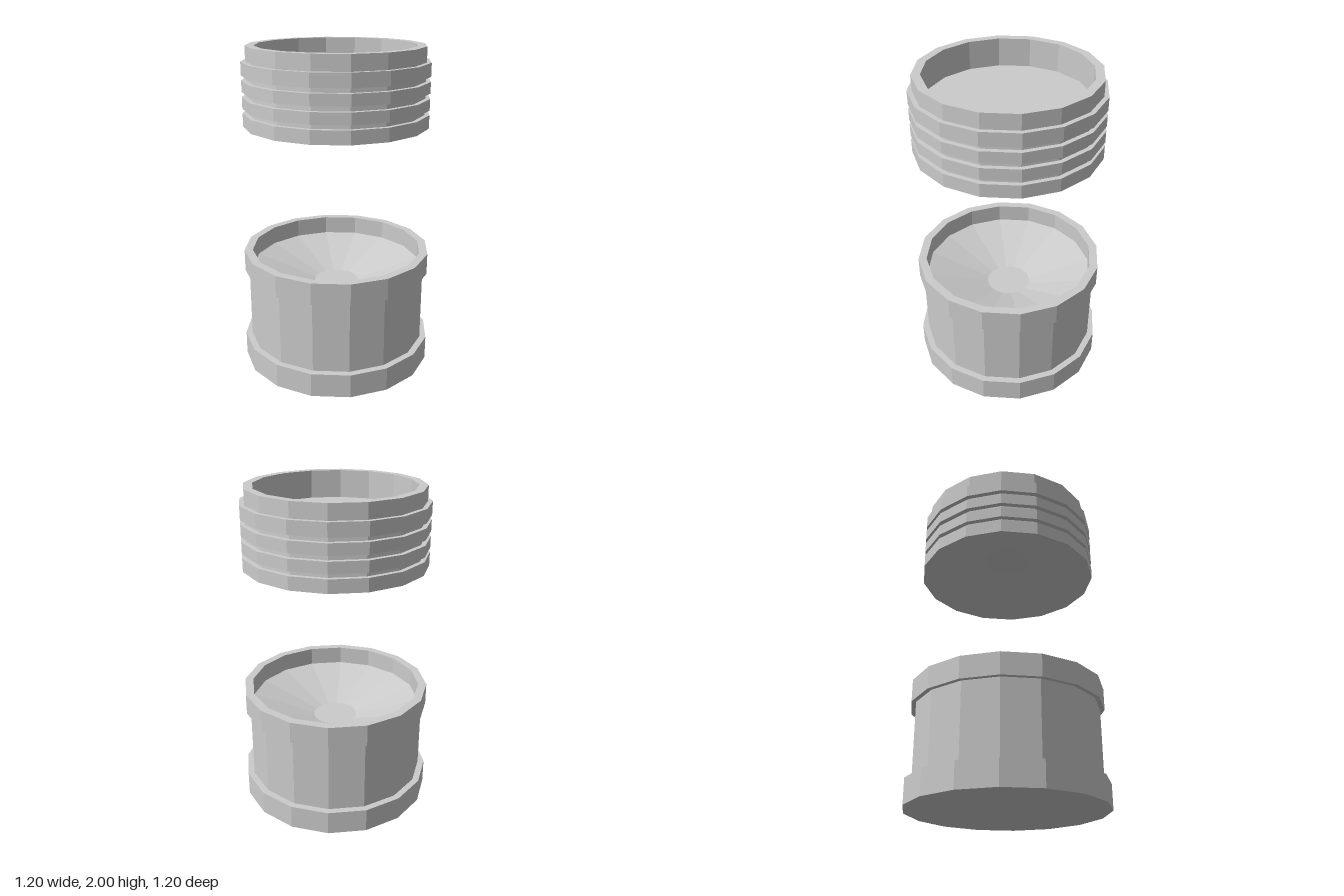
import * as THREE from 'three';

const SIDES = 16;
const material = new THREE.MeshStandardMaterial({ color: 0xcccccc, flatShading: true });

// Closed faceted solid turned from a [radius, height] profile, listed bottom axis to top axis
function turned(name, profile) {
  const points = profile.map(([r, y]) => new THREE.Vector2(r, y));
  const mesh = new THREE.Mesh(new THREE.LatheGeometry(points, SIDES), material);
  mesh.name = name;
  return mesh;
}

export function createModel() {
  const group = new THREE.Group();
  group.name = 'pedestalAndFloatingCap';

  // Pedestal: wide foot, drum, overhanging rim and a dished top
  group.add(turned('pedestal', [
    [0, 0], [0.6, 0], [0.6, 0.15],
    [0.56, 0.15], [0.56, 0.6],
    [0.587, 0.6], [0.587, 0.735],
    [0.535, 0.735], [0.535, 0.62],
    [0.14, 0.5], [0, 0.5],
  ]));

  // Cap: hollow cone underneath, stacked ribs with grooves, recessed top
  const cap = [[0, 1.67], [0.15, 1.67], [0.547, 1.53]];
  const ribs = [[1.53, 1.61], [1.637, 1.705], [1.735, 1.802], [1.83, 1.91]];
  ribs.forEach(([low, high], i) => {
    if (i > 0) cap.push([0.53, low]);
    cap.push([0.56, low], [0.56, high], [0.532, high]);
  });
  cap.push([0.532, 2], [0.48, 2], [0.48, 1.83], [0, 1.83]);
  group.add(turned('floatingCap', cap));

  return group;
}
